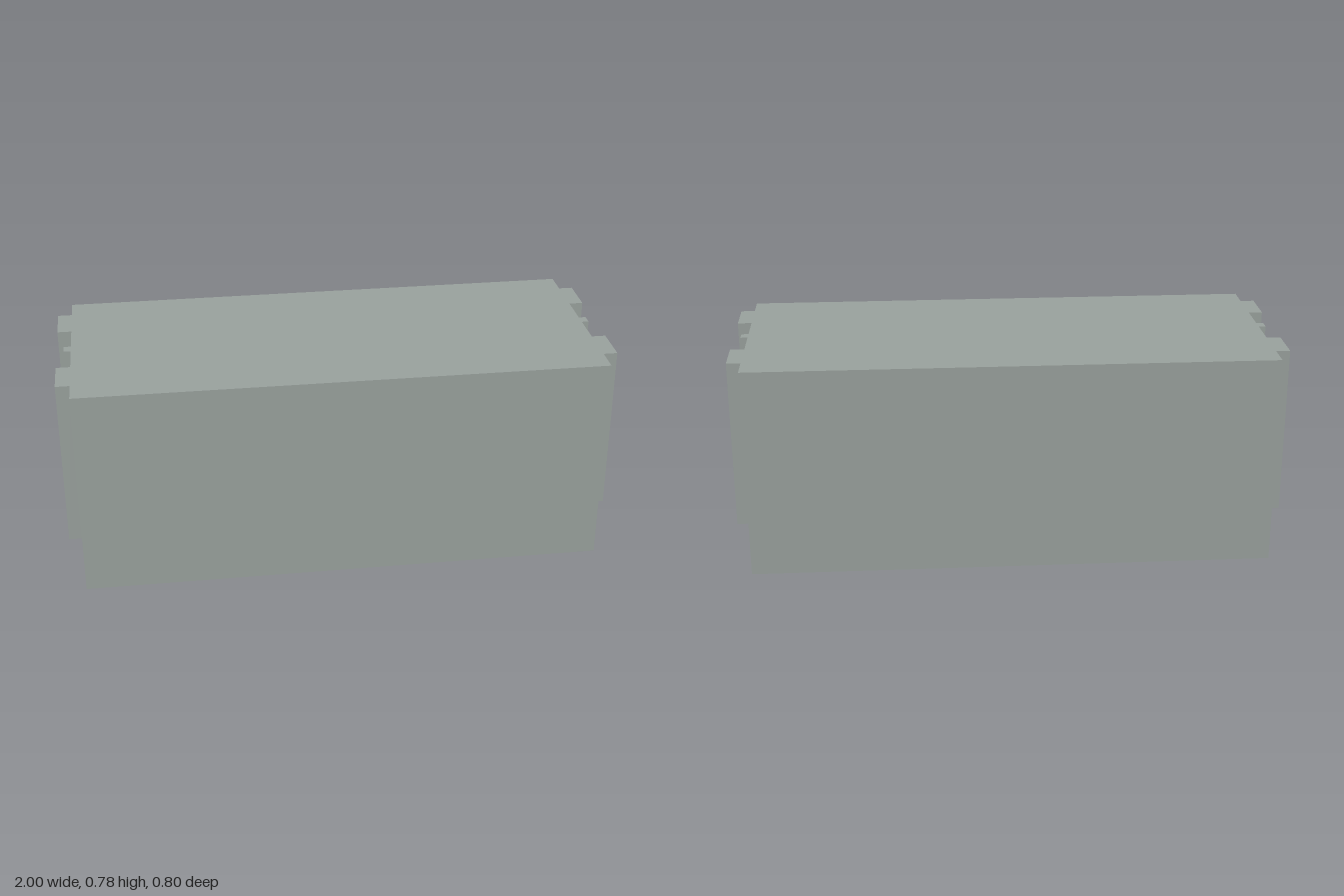
import * as THREE from 'three';

const HEIGHT = 0.777;
const RIB_BASE = 0.157;

export function createModel() {
  const group = new THREE.Group();
  const grey = new THREE.MeshStandardMaterial({ color: 0x98a09c, side: THREE.DoubleSide });
  grey.name = 'grey';

  // Hollow shell, open at the bottom: drop the box's underside (two triangles at index 18)
  const shellGeometry = new THREE.BoxGeometry(1.898, HEIGHT, 0.796);
  const index = Array.from(shellGeometry.index.array);
  index.splice(18, 6);
  shellGeometry.setIndex(index);
  shellGeometry.clearGroups();
  const shell = new THREE.Mesh(shellGeometry, grey);
  shell.name = 'shell';
  shell.position.y = HEIGHT / 2;
  group.add(shell);

  // Vertical rib on an end wall, hanging from the top edge
  const addRib = (name, side, xInner, xOuter, z, width) => {
    const height = HEIGHT - RIB_BASE;
    const rib = new THREE.Mesh(new THREE.BoxGeometry(xOuter - xInner, height, width), grey);
    rib.name = name;
    rib.position.set(side * (xInner + xOuter) / 2, RIB_BASE + height / 2, z);
    group.add(rib);
  };

  for (const side of [1, -1]) {
    const end = side > 0 ? 'left' : 'right';
    // Wide outer ribs
    addRib(end + 'FrontRib', side, 0.949, 1, 0.226, 0.15);
    addRib(end + 'BackRib', side, 0.949, 1, -0.226, 0.15);
    // Narrow centre rib passes through the wall
    addRib(end + 'CentreRib', side, 0.925, 0.975, 0, 0.04);
  }
  return group;
}
